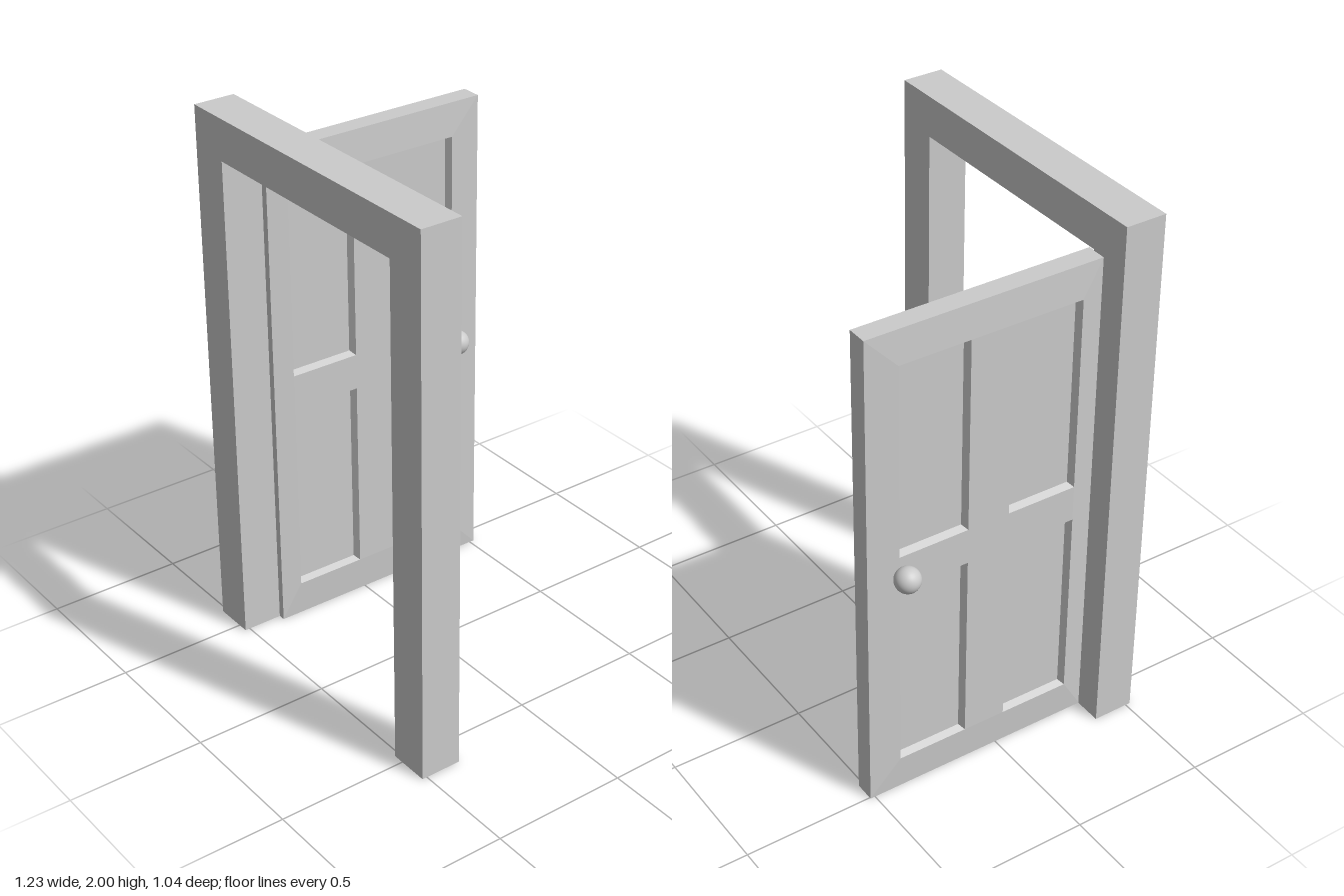
import * as THREE from 'three';

const material = new THREE.MeshStandardMaterial({ color: 0xcccccc, flatShading: true });
const smooth = new THREE.MeshStandardMaterial({ color: 0xcccccc });

// Corners of a rectangle [x0, y0, x1, y1] at depth z, counter-clockwise
const corners = ([x0, y0, x1, y1], z) => [[x0, y0, z], [x1, y0, z], [x1, y1, z], [x0, y1, z]];
const inset = ([x0, y0, x1, y1], d) => [x0 + d, y0 + d, x1 - d, y1 - d];

function doorGeometry() {
  const outer = [-0.368, 0, 0.518, 1.845];
  const columns = [[-0.29, -0.025], [0.135, 0.4]];
  const rows = [[0.13, 0.86], [0.995, 1.72]];
  const field = [columns[0][0], rows[0][0], columns[1][1], rows[1][1]];
  const edge = 0.0375, face = 0.0445, floor = 0.02; // half thicknesses
  const pos = [];

  const quad = ([a, b, c, d], side = 1) => {
    const order = side > 0 ? [a, b, c, a, c, d] : [a, c, b, a, d, c];
    for (const [x, y, z] of order) pos.push(x, y, z * side);
  };
  // Four quads joining an outside rectangle to an inside one
  const ring = (a, b, side) => {
    for (let i = 0; i < 4; i++) {
      const j = (i + 1) % 4;
      quad([a[i], a[j], b[j], b[i]], side);
    }
  };

  // Rim of the slab
  ring(corners(outer, -edge), corners(outer, edge));

  for (const side of [1, -1]) {
    // Gently sloping border
    ring(corners(outer, edge), corners(field, face), side);
    // Centre stile and the middle rails beside it
    quad(corners([columns[0][1], field[1], columns[1][0], field[3]], face), side);
    for (const [x0, x1] of columns) {
      quad(corners([x0, rows[0][1], x1, rows[1][0]], face), side);
      // Recessed panels with bevelled sides
      for (const [y0, y1] of rows) {
        const opening = [x0, y0, x1, y1];
        const sunk = corners(inset(opening, 0.012), floor);
        ring(corners(opening, face), sunk, side);
        quad(sunk, side);
      }
    }
  }
  const geometry = new THREE.BufferGeometry();
  geometry.setAttribute('position', new THREE.Float32BufferAttribute(pos, 3));
  geometry.computeVertexNormals();
  return geometry;
}

function frameGeometry() {
  const shape = new THREE.Shape([
    [-0.613, 0], [-0.46, 0], [-0.46, 1.85], [0.46, 1.85],
    [0.46, 0], [0.613, 0], [0.613, 2], [-0.613, 2],
  ].map(([x, y]) => new THREE.Vector2(x, y)));
  return new THREE.ExtrudeGeometry(shape, { depth: 0.152, bevelEnabled: false });
}

export function createModel() {
  const model = new THREE.Group();
  model.name = 'openDoor';

  const frame = new THREE.Mesh(frameGeometry(), material);
  frame.name = 'doorFrame';
  frame.position.z = 0.366;
  model.add(frame);

  // Door swung back from the frame, a touch past square
  const door = new THREE.Group();
  door.name = 'door';
  door.position.x = -0.47;
  door.rotation.y = Math.PI / 2 - 0.005;
  model.add(door);

  const slab = new THREE.Mesh(doorGeometry(), material);
  slab.name = 'panelledSlab';
  door.add(slab);

  // A round knob on each face
  for (const side of [1, -1]) {
    const knob = new THREE.Mesh(new THREE.SphereGeometry(0.046, 32, 20), smooth);
    knob.name = side > 0 ? 'innerKnob' : 'outerKnob';
    knob.position.set(0.395, 0.93, side * 0.084);
    door.add(knob);
  }
  return model;
}
